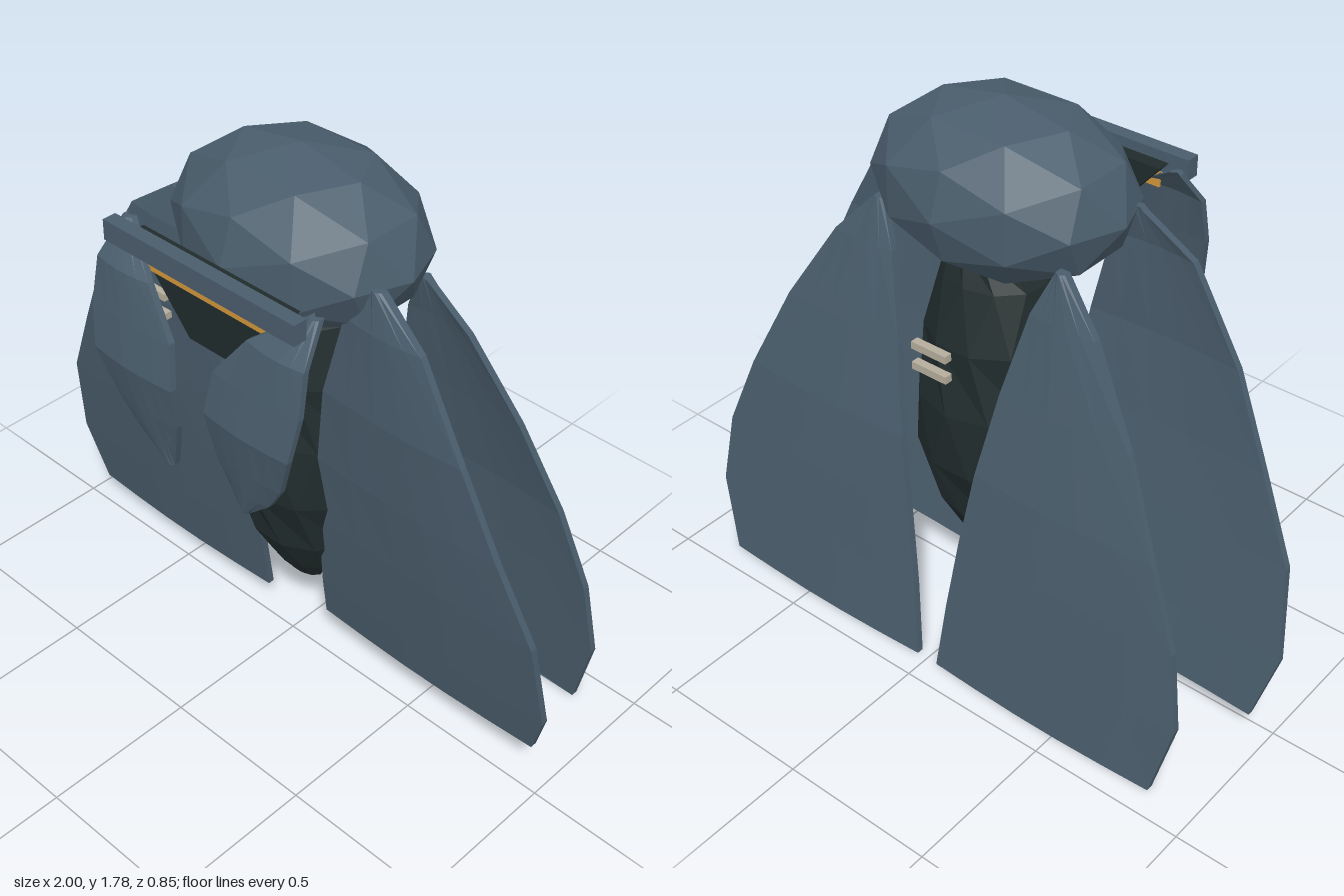
import * as THREE from 'three';

const cloth = new THREE.MeshStandardMaterial({ color: 0x4a5d6c });
cloth.name = 'slateCloth';
const dark = new THREE.MeshStandardMaterial({ color: 0x202b2c });
dark.name = 'darkBody';
const amber = new THREE.MeshStandardMaterial({ color: 0xd0963a });
amber.name = 'amberGlow';
const bone = new THREE.MeshStandardMaterial({ color: 0xb5ad9c });
bone.name = 'paleThread';

// Faceted closed solid through rings listed from top to bottom
function loft(rings) {
  const out = [];
  const n = rings[0].length;
  const tri = (a, b, c) => out.push(...a, ...b, ...c);
  for (let i = 0; i < rings.length - 1; i++) {
    const a = rings[i], b = rings[i + 1];
    for (let j = 0; j < n; j++) {
      const k = (j + 1) % n;
      tri(a[j], b[j], b[k]);
      tri(a[j], b[k], a[k]);
    }
  }
  const top = rings[0], end = rings[rings.length - 1];
  for (let j = 1; j < n - 1; j++) {
    tri(top[0], top[j], top[j + 1]);
    tri(end[0], end[j + 1], end[j]);
  }
  const g = new THREE.BufferGeometry();
  g.setAttribute('position', new THREE.Float32BufferAttribute(out, 3));
  g.computeVertexNormals();
  return g;
}

// Thin hanging panel; rows are [y, inner x, outer x, z]
function panel(rows, side, bulge, thick = 0.022, cols = 5) {
  return loft(rows.map(([y, xi, xo, z]) => {
    const lo = Math.min(side * xi, side * xo), hi = Math.max(side * xi, side * xo);
    const front = [], back = [];
    for (let c = 0; c <= cols; c++) {
      const t = c / cols;
      const x = lo + (hi - lo) * t;
      const zz = z + bulge * (Math.sin(Math.PI * t) - 0.5);
      front.push([x, y, zz + thick / 2]);
      back.unshift([x, y, zz - thick / 2]);
    }
    return [...front, ...back];
  }));
}

export function createModel() {
  const model = new THREE.Group();
  const add = (name, geometry, material, x = 0, y = 0, z = 0) => {
    const m = new THREE.Mesh(geometry, material);
    m.name = name;
    m.position.set(x, y, z);
    model.add(m);
    return m;
  };

  // Faceted hood
  const hood = new THREE.IcosahedronGeometry(1, 1);
  hood.scale(0.415, 0.26, 0.312);
  hood.computeVertexNormals();
  add('hood', hood, cloth, 0, 1.525, -0.03);

  // Tapering body: [y, x radius, z radius, z centre]
  const profile = [
    [1.36, 0.12, 0.12, -0.06], [1.26, 0.17, 0.155, -0.06], [1.08, 0.215, 0.21, -0.065],
    [0.87, 0.24, 0.232, -0.07], [0.66, 0.25, 0.232, -0.065], [0.46, 0.2, 0.175, -0.06],
    [0.32, 0.125, 0.1, -0.06], [0.24, 0.07, 0.042, -0.06],
  ];
  add('body', loft(profile.map(([y, rx, rz, z], i) => {
    const ring = [];
    for (let j = 0; j < 11; j++) {
      const t = (j + (i % 2) * 0.5) / 11 * Math.PI * 2;
      ring.push([rx * Math.sin(t), y, z + rz * Math.cos(t)]);
    }
    return ring;
  })), dark);

  // Cloak panels and collar lapels, mirrored
  for (const side of [1, -1]) {
    const label = side > 0 ? 'left' : 'right';
    const hem = side > 0 ? [0.15, 0.13, 0.955, -0.025] : [0.08, 0.14, 0.94, -0.035];
    add(label + 'FrontCloak', panel([
      [1.535, 0.36, 0.4, 0.075], [1.42, 0.29, 0.56, 0.098], [1.14, 0.22, 0.72, 0.103],
      [0.86, 0.18, 0.845, 0.078], [0.6, 0.155, 0.965, 0.045], [0.3, 0.135, 1.0, 0], hem,
    ], side, 0.012), cloth);
    add(label + 'RearCloak', panel([
      [1.43, 0.31, 0.34, -0.19], [1.29, 0.25, 0.47, -0.225], [1.03, 0.19, 0.63, -0.28],
      [0.75, 0.14, 0.76, -0.335], [0.5, 0.1, 0.86, -0.362], [0.25, 0.065, 0.9, -0.385],
      [0, 0.038, 0.84, -0.41],
    ], side, -0.012), cloth);
    add(label + 'Lapel', panel([
      [1.54, 0.34, 0.375, 0.285], [1.43, 0.19, 0.4, 0.367], [1.29, 0.085, 0.405, 0.392],
      [1.15, 0.065, 0.385, 0.413], [1.0, 0.08, 0.33, 0.385], [0.9, 0.11, 0.265, 0.365],
      [0.81, 0.14, 0.17, 0.347],
    ], side, 0.012, 0.02), cloth);
  }

  // Wedge-shaped face plate with glowing slit and brow
  const face = new THREE.Shape([[-0.3, 1.53], [-0.08, 1.28], [0.08, 1.28], [0.3, 1.53]]
    .map(([x, y]) => new THREE.Vector2(x, y)));
  add('facePlate', new THREE.ExtrudeGeometry(face, { depth: 0.045, bevelEnabled: false }), dark, 0, 0, 0.28);
  add('eyeSlit', new THREE.BoxGeometry(0.54, 0.055, 0.008), amber, 0, 1.47, 0.33);
  add('brow', new THREE.BoxGeometry(0.73, 0.065, 0.045), cloth, 0, 1.528, 0.348);

  // Pale stitches on the front cloak and between the rear panels
  for (const [name, x, y, z] of [['frontStitch', -0.455, 1.175, 0.128], ['rearStitch', 0, 1.125, -0.352]]) {
    for (let i = 0; i < 2; i++) {
      add(name, new THREE.BoxGeometry(0.125, 0.024, 0.026), bone, x, y - i * 0.068, z);
    }
  }
  return model;
}
